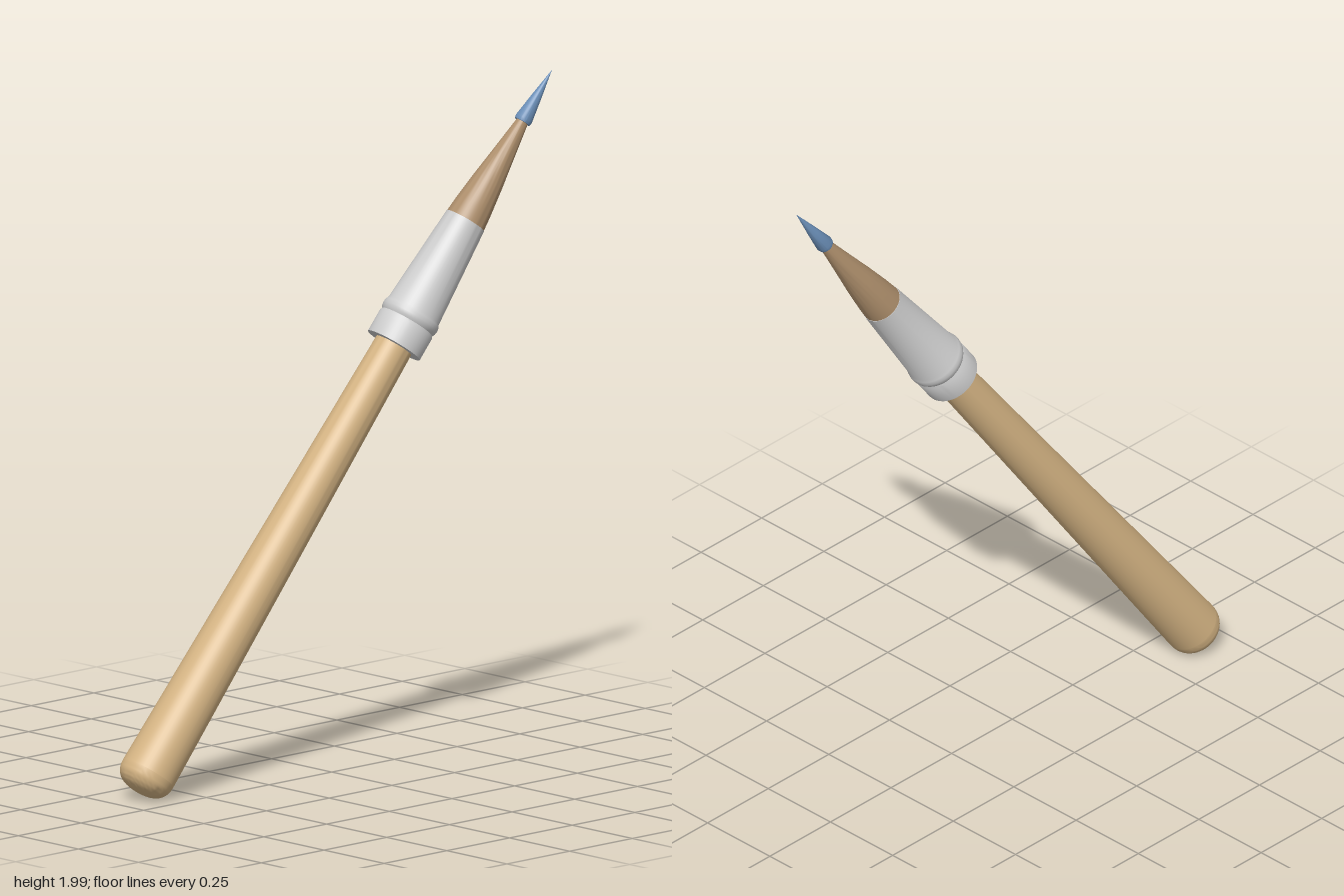
import * as THREE from 'three';
import { toCreasedNormals } from 'three/addons/utils/BufferGeometryUtils.js';

// Turned part: profile is a list of [radius, distance along the brush axis]
function turned(name, color, profile, crease = 0.5) {
  const points = profile.map(([r, s]) => new THREE.Vector2(r, s));
  const geometry = toCreasedNormals(new THREE.LatheGeometry(points, 48), crease);
  const mesh = new THREE.Mesh(geometry, new THREE.MeshStandardMaterial({ color }));
  mesh.name = name;
  return mesh;
}

export function createModel() {
  const model = new THREE.Group();
  model.name = 'paintBrush';
  const brush = new THREE.Group();
  brush.name = 'brush';

  const wood = 0xd6b584, hair = 0xae8f6c, paint = 0x6b8fb8, metal = 0xcccccc;

  // Rounded end of the handle, a flattened dome
  const dome = [];
  for (let i = 0; i <= 14; i++) {
    const a = (i / 14) * Math.PI / 2;
    dome.push([0.083 * Math.sin(a) ** 0.8, -0.064 * Math.cos(a) ** 0.8]);
  }
  dome[0][0] = 0;
  dome[14][1] = 0;
  brush.add(turned('handleEnd', wood, dome, 0.8));

  // Tapered wooden handle
  brush.add(turned('handle', wood, [[0.083, 0], [0.057, 1.45]]));

  // Metal ferrule: wide collar, raised ring and tapering sleeve
  brush.add(turned('ferrule', metal, [
    [0.05, 1.43], [0.086, 1.43], [0.086, 1.502], [0.083, 1.508],
    [0.087, 1.515], [0.089, 1.526], [0.087, 1.538], [0.083, 1.546],
    [0.062, 1.847], [0.05, 1.847],
  ]));

  // Bristles, slightly full near the ferrule
  brush.add(turned('bristles', hair, [
    [0.061, 1.845], [0.057, 1.89], [0.046, 1.98], [0.033, 2.07], [0.015, 2.2],
  ]));

  // Paint-loaded tip
  brush.add(turned('paintTip', paint, [
    [0, 2.178], [0.024, 2.178], [0.026, 2.188], [0.016, 2.255], [0, 2.353],
  ]));

  // Lean the whole brush
  const direction = new THREE.Vector3(0.568, 0.814, 0.121).normalize();
  brush.quaternion.setFromUnitVectors(new THREE.Vector3(0, 1, 0), direction);
  brush.position.set(-0.63, 0.083, -0.105);
  model.add(brush);
  return model;
}
